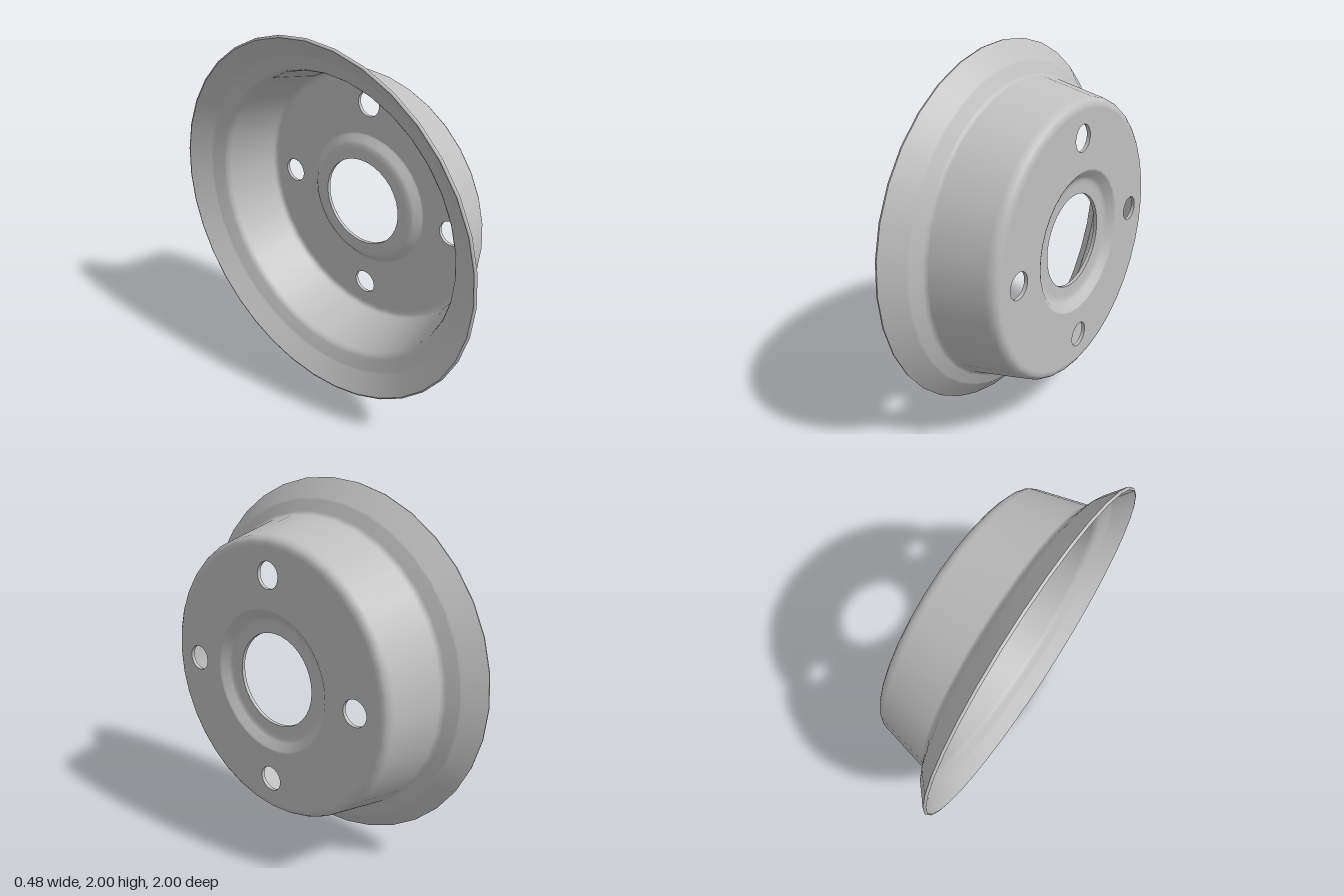
import * as THREE from 'three';

const SEGMENTS = 36;

// Surface of revolution about the x axis from [radius, x] pairs.
// Profiles running towards +x face outwards.
function ring(name, profile, material) {
  const points = profile.map(([r, x]) => new THREE.Vector2(r, x));
  const geometry = new THREE.LatheGeometry(points, SEGMENTS);
  geometry.rotateZ(-Math.PI / 2);
  const mesh = new THREE.Mesh(geometry, material);
  mesh.name = name;
  return mesh;
}

function circlePath(Type, x, y, r, clockwise) {
  const path = new Type();
  path.absarc(x, y, r, 0, Math.PI * 2, clockwise);
  return path;
}

export function createModel() {
  const steel = new THREE.MeshStandardMaterial({ color: 0xc0c0c0 });
  steel.name = 'steel grey';

  const wheel = new THREE.Group();
  wheel.name = 'wheelDisc';

  // Flared flange, tapered drum wall and rounded shoulder
  wheel.add(ring('outerShell', [
    [1.0, -0.228], [0.905, -0.142], [0.895, -0.135], [0.84, -0.108], [0.828, -0.1], [0.82, -0.085],
    [0.76, 0.19], [0.755, 0.21], [0.743, 0.228], [0.727, 0.238], [0.71, 0.24],
  ], steel));
  wheel.add(ring('innerShell', [
    [0.71, 0.22], [0.726, 0.217], [0.736, 0.207], [0.741, 0.19],
    [0.801, -0.09], [0.81, -0.11], [0.825, -0.123], [0.885, -0.152], [0.895, -0.159], [0.99, -0.24],
  ], steel));
  wheel.add(ring('rimEdge', [[0.99, -0.24], [0.998, -0.238], [1.0, -0.228]], steel));

  // Flat face with four bolt holes
  const face = circlePath(THREE.Shape, 0, 0, 0.71, false);
  face.holes.push(circlePath(THREE.Path, 0, 0, 0.39, true));
  for (let i = 0; i < 4; i++) {
    const a = i * Math.PI / 2;
    face.holes.push(circlePath(THREE.Path, 0.565 * Math.cos(a), 0.565 * Math.sin(a), 0.07, true));
  }
  const plate = new THREE.ExtrudeGeometry(face, {
    depth: 0.02, bevelEnabled: false, curveSegments: SEGMENTS / 2,
  });
  plate.rotateY(Math.PI / 2).translate(0.22, 0, 0);
  const facePlate = new THREE.Mesh(plate, steel);
  facePlate.name = 'facePlate';
  wheel.add(facePlate);

  // Recessed dish around the centre bore
  wheel.add(ring('hubDishFront', [
    [0.39, 0.24], [0.378, 0.235], [0.345, 0.207], [0.33, 0.2], [0.31, 0.197], [0.255, 0.195],
  ], steel));
  wheel.add(ring('hubDishBack', [
    [0.255, 0.175], [0.31, 0.177], [0.335, 0.181], [0.352, 0.19], [0.38, 0.215], [0.39, 0.22],
  ], steel));
  wheel.add(ring('centreBore', [[0.255, 0.195], [0.255, 0.175]], steel));

  // Stand the disc upright on the ground
  wheel.position.y = 1;
  const model = new THREE.Group();
  model.name = 'model';
  model.add(wheel);
  return model;
}
